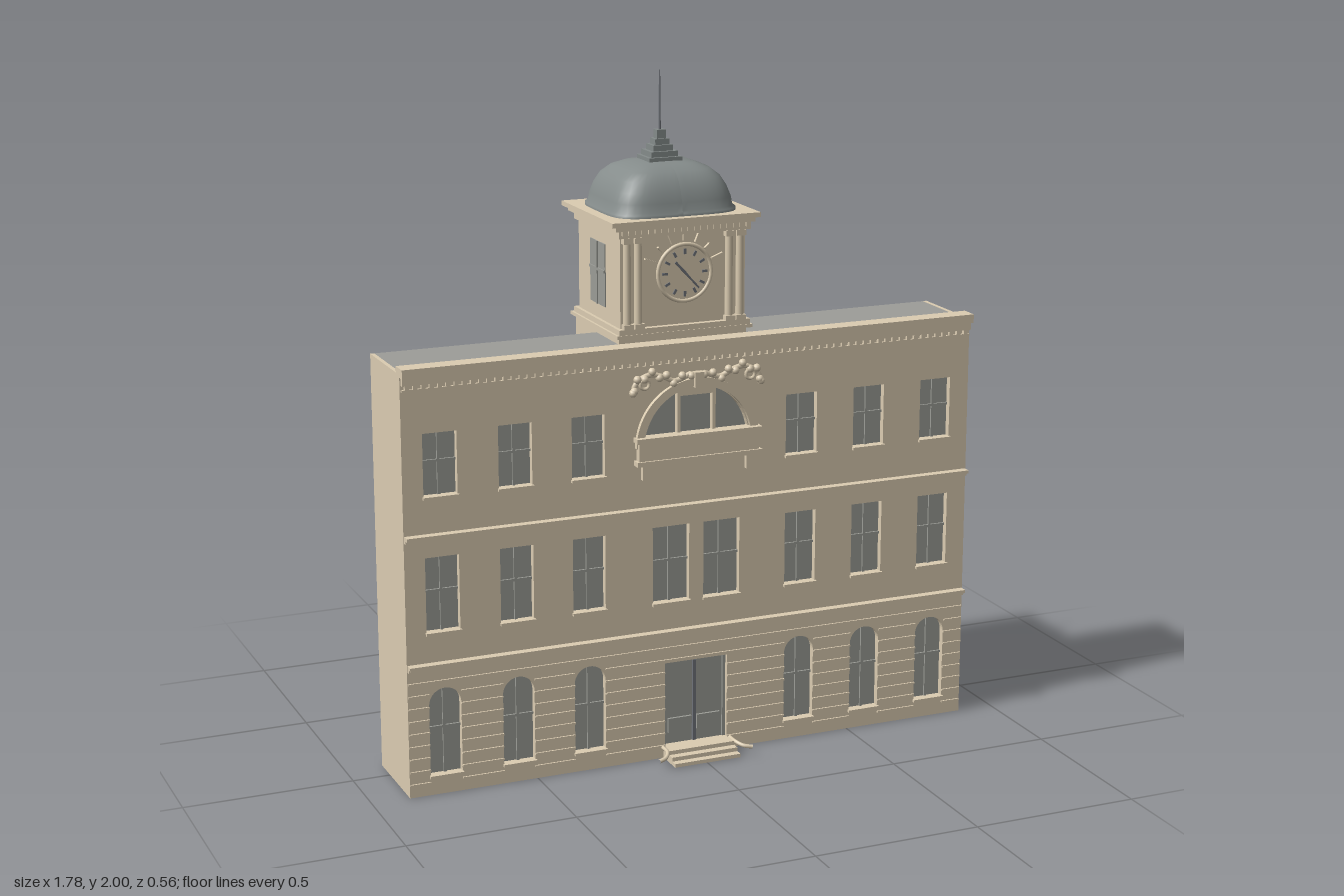
import * as THREE from 'three';

const mat = (name, color) => {
  const m = new THREE.MeshStandardMaterial({ color });
  m.name = name;
  return m;
};

export function createModel() {
  const stone = mat('stone', 0xdccdb2);
  const glass = mat('glass', 0x9c9d97);
  const slate = mat('slate', 0x9d9d99);
  const lead = mat('lead', 0x858c8b);
  const dark = mat('dark metal', 0x70747a);
  const model = new THREE.Group();
  model.name = 'clockTowerHall';

  const add = (name, geo, m, x = 0, y = 0, z = 0, parent = model) => {
    const mesh = new THREE.Mesh(geo, m);
    mesh.name = name;
    mesh.position.set(x, y, z);
    parent.add(mesh);
    return mesh;
  };
  // box given by its min and max on each axis
  const box = (name, m, x0, x1, y0, y1, z0, z1) =>
    add(name, new THREE.BoxGeometry(x1 - x0, y1 - y0, z1 - z0), m, (x0 + x1) / 2, (y0 + y1) / 2, (z0 + z1) / 2);

  const W = 0.882, WALL = 0.19, BACK = -0.08;
  const columns = [-0.777, -0.555, -0.335, 0.335, 0.555, 0.777];

  // Front wall with all of its openings
  const rect = (x0, x1, y0, y1) => new THREE.Path([[x0, y0], [x1, y0], [x1, y1], [x0, y1]].map(p => new THREE.Vector2(...p)));
  const wall = new THREE.Shape([[-W, 0], [W, 0], [W, 1.24], [-W, 1.24]].map(p => new THREE.Vector2(...p)));
  const openings = [];
  const opening = (x, w, y0, y1) => {
    wall.holes.push(rect(x - w / 2, x + w / 2, y0, y1));
    openings.push([x, w, y0, y1]);
  };
  for (const x of columns) {
    opening(x, 0.1, 0.888, 1.07);
    opening(x, 0.1, 0.49, 0.71);
    const arch = new THREE.Path();
    arch.moveTo(x - 0.048, 0.06);
    arch.lineTo(x + 0.048, 0.06);
    arch.lineTo(x + 0.048, 0.272);
    arch.absarc(x, 0.272, 0.048, 0, Math.PI, false);
    arch.lineTo(x - 0.048, 0.06);
    wall.holes.push(arch);
    openings.push([x, 0.096, 0.06, 0.32]);
  }
  for (const s of [-1, 1]) opening(s * 0.08, 0.115, 0.485, 0.715);
  wall.holes.push(rect(-0.1, 0.1, 0.035, 0.295), rect(-0.05, 0.05, 0.975, 1.1));
  for (const s of [-1, 1]) {
    const pts = [new THREE.Vector2(s * 0.06, 0.975)];
    for (let i = 0; i <= 10; i++) {
      const a = 0.091 + (1.198 - 0.091) * i / 10;
      pts.push(new THREE.Vector2(s * 0.165 * Math.cos(a), 0.96 + 0.165 * Math.sin(a)));
    }
    wall.holes.push(new THREE.Path(pts));
  }
  add('frontWall', new THREE.ExtrudeGeometry(wall, { depth: 0.024, bevelEnabled: false, curveSegments: 10 }), stone, 0, 0, WALL - 0.024);

  // Glass, glazing bars and sills
  for (const [x, w, y0, y1] of openings) {
    const h = y1 - y0;
    box('windowGlass', glass, x - w / 2 - 0.002, x + w / 2 + 0.002, y0 - 0.002, y1 + 0.002, 0.167, 0.171);
    box('glazingBar', glass, x - 0.004, x + 0.004, y0, y1 - 0.002, 0.17, 0.177);
    box('glazingBar', glass, x - w / 2, x + w / 2, y0 + h * 0.52, y0 + h * 0.52 + 0.007, 0.17, 0.177);
    box('windowSill', stone, x - w / 2 - 0.003, x + w / 2 + 0.003, y0 - 0.008, y0, 0.18, 0.2);
  }
  box('lunetteGlass', glass, -0.17, 0.17, 0.97, 1.13, 0.167, 0.171);

  // Entrance doors
  for (const s of [-1, 1]) {
    box('door', glass, Math.min(0, s * 0.102), Math.max(0, s * 0.102), 0.033, 0.297, 0.167, 0.171);
    box('doorPanel', glass, s * 0.046 - 0.037, s * 0.046 + 0.037, 0.07, 0.115, 0.171, 0.179);
    box('doorStile', glass, s * 0.096 - 0.005, s * 0.096 + 0.005, 0.036, 0.294, 0.17, 0.178);
  }
  box('doorMeeting', dark, -0.005, 0.005, 0.036, 0.29, 0.17, 0.18);

  // Remaining walls and roof, open underneath
  for (const s of [-1, 1]) box('sideWall', stone, s * W - 0.006, s * W + 0.006, 0, 1.244, BACK, WALL);
  box('backWall', stone, -W, W, 0, 1.235, BACK, BACK + 0.01);
  box('roof', slate, -W + 0.005, W - 0.005, 1.228, 1.243, BACK - 0.003, 0.14);
  box('parapetLedge', stone, -W, W, 1.225, 1.248, 0.133, 0.165);

  // Ground floor joint lines, broken at the openings
  const gaps = [...columns.map(x => [x - 0.048, x + 0.048]), [-0.1, 0.1]].sort((a, b) => a[0] - b[0]);
  for (let i = 0; i < 9; i++) {
    const y = 0.036 + i * 0.038;
    let x0 = -W - 0.004;
    for (const [a, b] of y < 0.32 ? gaps : []) {
      if (a === -0.1 && y > 0.29) continue;
      box('jointLine', stone, x0, a, y, y + 0.005, WALL - 0.002, WALL + 0.005);
      x0 = b;
    }
    box('jointLine', stone, x0, W + 0.004, y, y + 0.005, WALL - 0.002, WALL + 0.005);
  }

  // String courses and main cornice
  for (const y of [0.38, 0.76]) {
    box('stringCourse', stone, -W - 0.004, W + 0.004, y, y + 0.01, 0.18, 0.202);
    box('stringCourseLip', stone, -W - 0.004, W + 0.004, y + 0.01, y + 0.02, 0.18, 0.215);
  }
  box('corniceBand', stone, -W - 0.003, W + 0.003, 1.194, 1.2, 0.18, 0.197);
  box('corniceBed', stone, -W - 0.003, W + 0.003, 1.213, 1.236, 0.18, 0.204);
  box('corniceTop', stone, -W - 0.006, W + 0.006, 1.236, 1.262, 0.16, 0.215);
  for (let i = 0; i < 74; i++) {
    const x = -W + 0.012 + i * (2 * W - 0.024) / 73;
    box('dentil', stone, x - 0.006, x + 0.006, 1.2, 1.213, 0.18, 0.2);
  }

  // Lunette arch, balcony and garlands
  const ring = new THREE.Shape();
  ring.absarc(0, 0.96, 0.192, 0, Math.PI, false);
  ring.absarc(0, 0.96, 0.168, Math.PI, 0, true);
  add('lunetteArch', new THREE.ExtrudeGeometry(ring, { depth: 0.02, bevelEnabled: false, curveSegments: 24 }), stone, 0, 0, 0.183);
  box('balconyParapet', stone, -0.188, 0.188, 0.922, 0.98, 0.18, 0.214);
  box('balconyRail', stone, -0.196, 0.196, 0.978, 0.992, 0.18, 0.22);
  box('balconyFloor', stone, -0.196, 0.196, 0.91, 0.924, 0.18, 0.22);
  box('keystone', stone, -0.014, 0.014, 1.125, 1.17, 0.18, 0.212);
  for (const s of [-1, 1]) {
    box('balconyBracket', stone, s * 0.163 - 0.011, s * 0.163 + 0.011, 0.865, 0.912, 0.18, 0.205);
    const curve = new THREE.CatmullRomCurve3([[0.02, 1.165], [0.07, 1.148], [0.11, 1.165], [0.15, 1.172], [0.19, 1.15], [0.2, 1.115]]
      .map(([x, y]) => new THREE.Vector3(s * x, y, 0.194)));
    add('garland', new THREE.TubeGeometry(curve, 24, 0.008, 6), stone);
    for (let i = 0; i < 10; i++) {
      const p = curve.getPoint(i / 9);
      add('garlandLeaf', new THREE.SphereGeometry(0.012, 8, 6), stone, p.x, p.y + (i % 2 ? 0.009 : -0.006), p.z + 0.003);
    }
    add('garlandScroll', new THREE.TorusGeometry(0.014, 0.005, 6, 14), stone, s * 0.165, 1.147, 0.198);
  }

  // Entrance steps with flared side rails
  box('upperStep', stone, -0.105, 0.105, 0.024, 0.037, 0.18, 0.235);
  box('middleStep', stone, -0.105, 0.105, 0.012, 0.025, 0.18, 0.258);
  box('lowerStep', stone, -0.105, 0.105, 0.002, 0.013, 0.18, 0.28);
  for (const s of [-1, 1]) {
    const rail = new THREE.CatmullRomCurve3([[0.108, 0.035, 0.19], [0.11, 0.034, 0.235], [0.125, 0.028, 0.258], [0.15, 0.024, 0.268]]
      .map(([x, y, z]) => new THREE.Vector3(s * x, y, z)));
    add('stepRail', new THREE.TubeGeometry(rail, 14, 0.006, 8), stone);
  }

  // Tower shaft behind the hall and the clock stage above
  box('towerShaft', stone, -0.2, 0.2, 0, 1.256, -0.25, BACK);
  box('towerPlinth', stone, -0.2, 0.2, 1.242, 1.266, -0.24, 0.092);
  box('towerBaseTrim', stone, -0.212, 0.212, 1.262, 1.272, -0.262, 0.11);
  box('towerBaseTrim', stone, -0.205, 0.205, 1.272, 1.288, -0.25, 0.108);
  box('clockStage', stone, -0.195, 0.195, 1.28, 1.575, -0.233, 0.09);
  box('towerFrieze', stone, -0.205, 0.205, 1.553, 1.575, -0.243, 0.108);
  box('towerCornice', stone, -0.217, 0.217, 1.575, 1.588, -0.263, 0.115);
  box('towerCorniceTop', stone, -0.23, 0.23, 1.588, 1.602, -0.28, 0.122);
  for (let i = 0; i < 20; i++) box('towerDentil', stone, -0.197 + i * 0.0203, -0.187 + i * 0.0203, 1.562, 1.575, 0.1, 0.113);

  for (const s of [-1, 1]) {
    for (const x of [0.142, 0.176]) {
      add('column', new THREE.CylinderGeometry(0.011, 0.012, 0.26, 12), stone, s * x, 1.42, 0.095);
      box('columnBase', stone, s * x - 0.015, s * x + 0.015, 1.288, 1.302, 0.085, 0.11);
      box('columnCapital', stone, s * x - 0.015, s * x + 0.015, 1.536, 1.553, 0.085, 0.11);
    }
    // Side window of the clock stage
    const side = (name, z0, z1, y0, y1, t) => box(name, glass, s * 0.195 - t, s * 0.195 + t, y0, y1, z0, z1);
    side('towerWindow', -0.135, -0.02, 1.33, 1.515, 0.003);
    side('towerWindowBar', -0.082, -0.073, 1.33, 1.515, 0.007);
    side('towerWindowBar', -0.135, -0.02, 1.43, 1.438, 0.007);
  }

  // Clock
  const clock = new THREE.Group();
  clock.name = 'clock';
  clock.position.set(0, 1.44, 0.09);
  model.add(clock);
  const disc = add('clockFace', new THREE.CylinderGeometry(0.083, 0.083, 0.016, 40), stone, 0, 0, 0.004, clock);
  disc.rotation.x = Math.PI / 2;
  add('clockRim', new THREE.TorusGeometry(0.083, 0.006, 8, 40), stone, 0, 0, 0.011, clock);
  const spoke = (name, m, a, r0, r1, w, z, d) => {
    const r = (r0 + r1) / 2;
    add(name, new THREE.BoxGeometry(w, r1 - r0, d), m, Math.sin(a) * r, Math.cos(a) * r, z, clock).rotation.z = -a;
  };
  for (let i = 0; i < 12; i++) spoke('hourMark', dark, i * Math.PI / 6, 0.054, 0.07, 0.007, 0.0135, 0.004);
  for (let i = -3; i <= 3; i++) spoke('sunRay', stone, i * 0.4, 0.092, i % 2 ? 0.13 : 0.112, 0.005, 0.004, 0.012);
  spoke('minuteHand', dark, 2.4, -0.012, 0.064, 0.005, 0.016, 0.004);
  spoke('hourHand', dark, -0.75, -0.01, 0.045, 0.007, 0.0175, 0.004);

  // Dome: rounded-square rings following a profile of [half width, height], top to bottom
  const profile = [[0.001, 1.743], [0.045, 1.742], [0.09, 1.736], [0.128, 1.722], [0.155, 1.7], [0.173, 1.67], [0.184, 1.64], [0.188, 1.616], [0.196, 1.61], [0.196, 1.6]];
  const N = 64, dome = new THREE.CylinderGeometry(1, 1, 1, N, profile.length - 1, true);
  const pos = dome.attributes.position;
  for (let i = 0; i < pos.count; i++) {
    const [r, y] = profile[Math.floor(i / (N + 1))];
    const a = (i % (N + 1)) / N * Math.PI * 2, c = Math.cos(a), s = Math.sin(a);
    const k = r / Math.pow(Math.pow(Math.abs(c), 4.5) + Math.pow(Math.abs(s), 4.5), 1 / 4.5);
    pos.setXYZ(i, s * k, y, c * k * 0.9);
  }
  dome.computeVertexNormals();
  add('dome', dome, lead, 0, 0, -0.082);

  // Stepped finial and spire
  [[0.052, 1.735, 1.752], [0.042, 1.752, 1.768], [0.031, 1.768, 1.785], [0.022, 1.785, 1.802], [0.014, 1.802, 1.828]]
    .forEach(([r, y0, y1]) => box('finialStep', lead, -r, r, y0, y1, -0.082 - r * 0.9, -0.082 + r * 0.9));
  add('spire', new THREE.CylinderGeometry(0.002, 0.004, 0.18, 8), dark, 0, 1.91, -0.082);

  return model;
}
